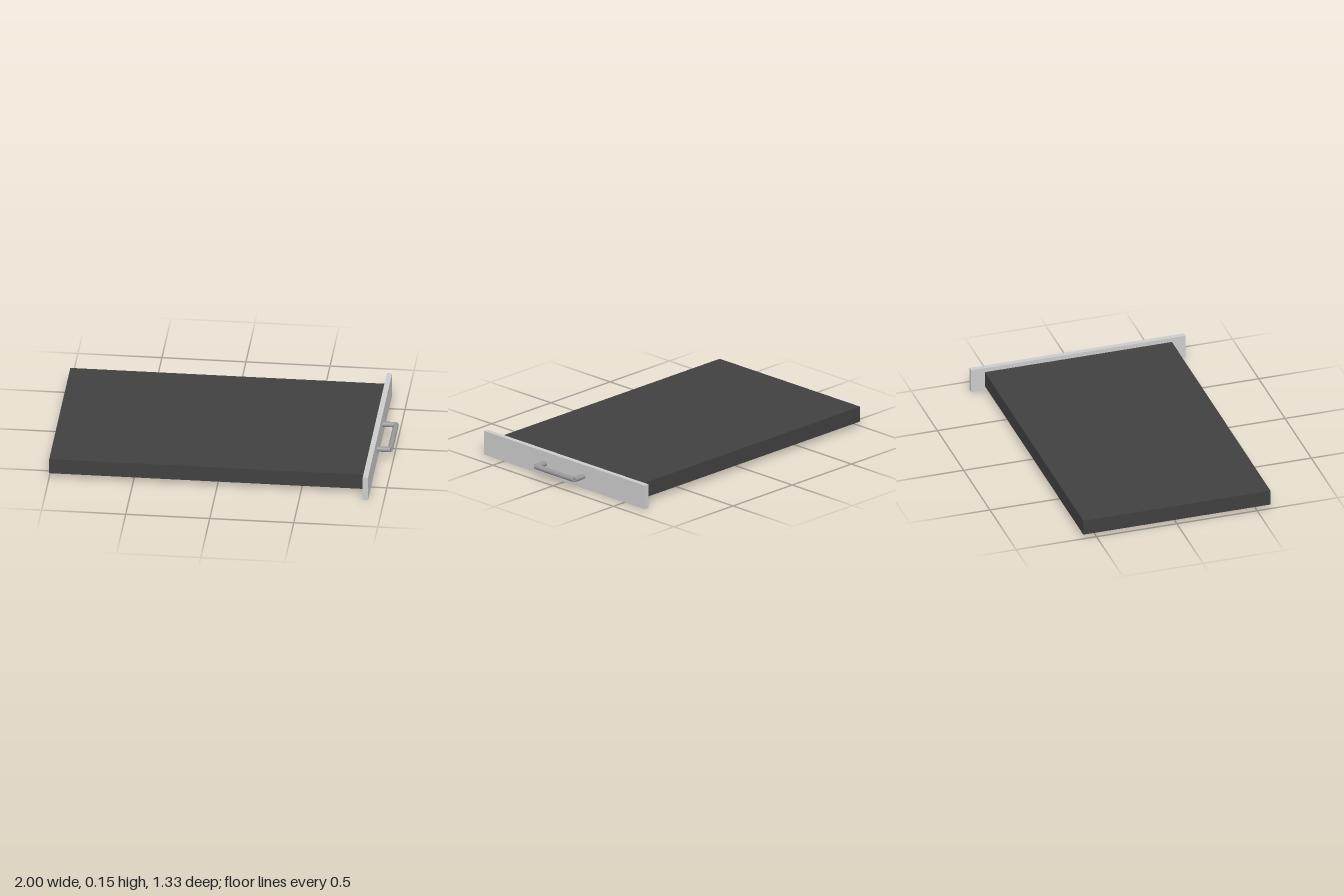
import * as THREE from 'three';

const material = (color) => new THREE.MeshStandardMaterial({ color });

function addMesh(parent, name, geometry, mat, x, y, z) {
  const mesh = new THREE.Mesh(geometry, mat);
  mesh.name = name;
  mesh.position.set(x, y, z);
  parent.add(mesh);
  return mesh;
}

export function createModel() {
  const model = new THREE.Group();
  model.name = 'drawer';
  const dark = material(0x404040);
  const grey = material(0xcccccc);
  const metal = material(0x999999);

  // Flat drawer body
  addMesh(model, 'drawerBody', new THREE.BoxGeometry(1.875, 0.094, 1.164), dark, -0.0625, 0.075, 0);

  // Face panel, larger than the body on every side
  addMesh(model, 'facePanel', new THREE.BoxGeometry(0.031, 0.149, 1.334), grey, 0.89, 0.0745, 0);

  // Pull handle: two posts and a grip bar
  const handle = new THREE.Group();
  handle.name = 'handle';
  handle.position.y = 0.076;
  model.add(handle);
  const radius = 0.016;
  const halfSpan = 0.158;
  for (const side of [-1, 1]) {
    const post = addMesh(handle, side > 0 ? 'frontPost' : 'backPost',
      new THREE.CylinderGeometry(radius, radius, 0.081, 24), metal, 0.9435, 0, side * halfSpan);
    post.rotation.z = Math.PI / 2;
  }
  const grip = addMesh(handle, 'gripBar',
    new THREE.CylinderGeometry(radius, radius, halfSpan * 2, 24), metal, 1 - radius, 0, 0);
  grip.rotation.x = Math.PI / 2;

  return model;
}
